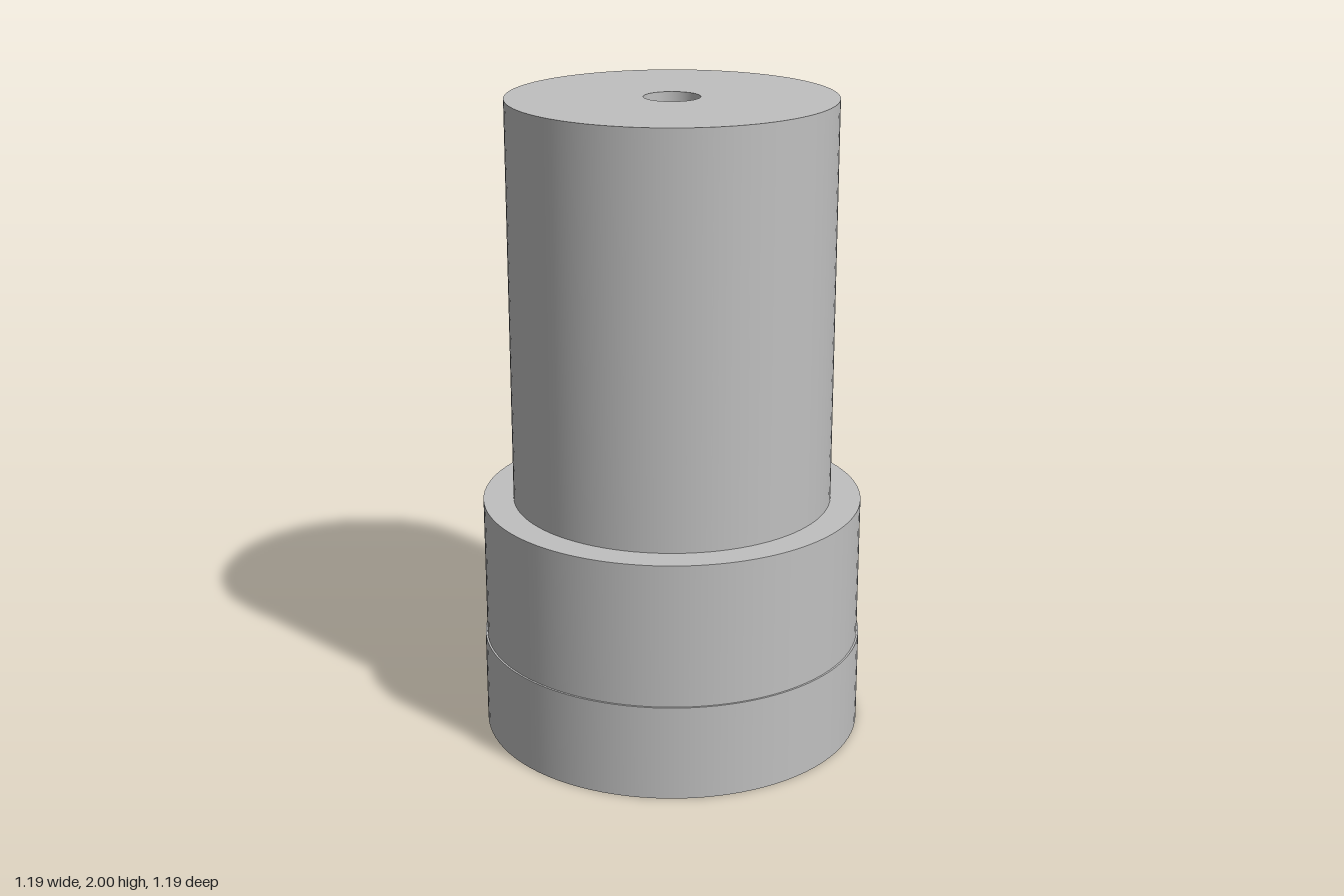
import * as THREE from 'three';
import { mergeGeometries } from 'three/addons/utils/BufferGeometryUtils.js';

const SEGMENTS = 96;

// Revolve each straight run of the profile on its own, so every rim stays sharp
function turned(profile) {
  const runs = [];
  for (let i = 0; i < profile.length - 1; i++) {
    const ends = [profile[i], profile[i + 1]].map(([r, y]) => new THREE.Vector2(r, y));
    runs.push(new THREE.LatheGeometry(ends, SEGMENTS));
  }
  return mergeGeometries(runs);
}

export function createModel() {
  const group = new THREE.Group();
  group.name = 'steppedBushing';
  const greyMetal = new THREE.MeshStandardMaterial({ color: 0xc0c0c0 });
  greyMetal.name = 'grey metal';

  const add = (name, profile) => {
    const mesh = new THREE.Mesh(turned(profile), greyMetal);
    mesh.name = name;
    group.add(mesh);
  };

  const bore = 0.085, recess = 0.3, recessDepth = 0.05;
  const shaft = 0.497, collar = 0.591, base = 0.597;

  // Base band with the shallow round recess underneath
  add('baseBand', [[bore, recessDepth], [recess, recessDepth], [recess, 0], [base, 0], [base, 0.3], [collar, 0.3]]);
  // Slightly narrower collar and its shoulder
  add('collar', [[collar, 0.3], [collar, 0.75], [shaft, 0.75]]);
  // Tall shaft with its top face
  add('shaft', [[shaft, 0.75], [shaft, 2], [bore, 2]]);
  // Straight bore through the whole length
  add('bore', [[bore, 2], [bore, recessDepth]]);

  return group;
}
